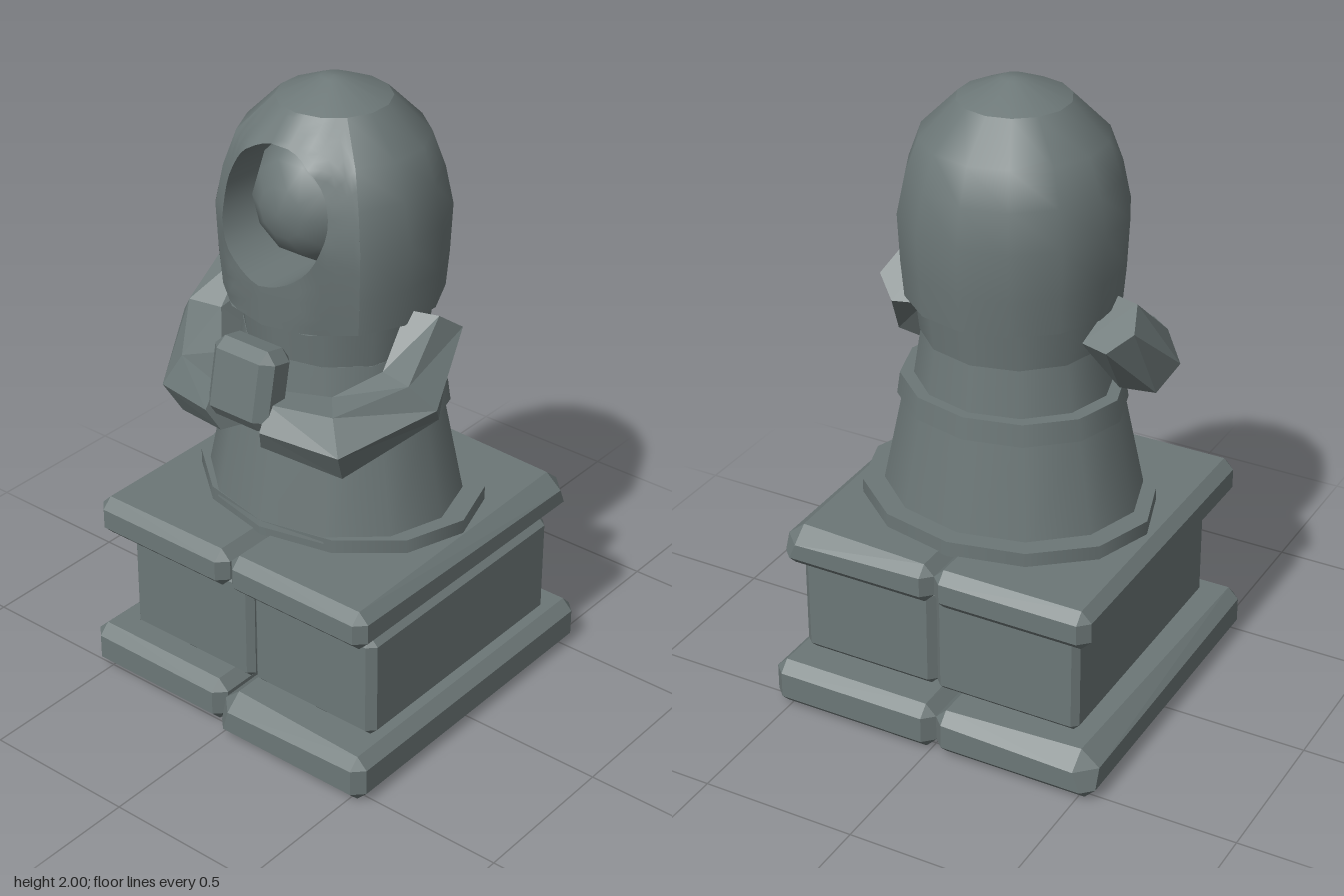
import * as THREE from 'three';
import { ConvexGeometry } from 'three/addons/geometries/ConvexGeometry.js';

const V = (x, y, z) => new THREE.Vector3(x, y, z);
const SIDES = 14;
const STEP = (Math.PI * 2) / SIDES;

// Box from min to max with cut edges; chips lists corners ("-+-" style signs) worn back further
function chamferBox(min, max, c, chips = {}) {
  const pts = [];
  for (const sx of [-1, 1]) for (const sy of [-1, 1]) for (const sz of [-1, 1]) {
    const s = [sx, sy, sz];
    const k = chips[s.map(v => (v > 0 ? '+' : '-')).join('')] || c;
    const corner = s.map((v, i) => (v > 0 ? max[i] : min[i]));
    for (let keep = 0; keep < 3; keep++) {
      const p = corner.map((v, i) => (i === keep ? v : v - s[i] * (i === 1 ? Math.min(k, c * 1.4) : k)));
      pts.push(V(...p));
    }
  }
  return new ConvexGeometry(pts);
}

// Skin through closed loops of equal point count
function loft(rows, flat) {
  const n = rows[0].length, pos = [], idx = [];
  rows.forEach(r => r.forEach(p => pos.push(p.x, p.y, p.z)));
  for (let j = 0; j < rows.length - 1; j++) for (let i = 0; i < n; i++) {
    const a = j * n + i, b = j * n + (i + 1) % n;
    idx.push(a, b, b + n, a, b + n, a + n);
  }
  let g = new THREE.BufferGeometry();
  g.setAttribute('position', new THREE.Float32BufferAttribute(pos, 3));
  g.setIndex(idx);
  if (flat) g = g.toNonIndexed();
  g.computeVertexNormals();
  return g;
}

// Hood outline: radius against height
const HOOD = [[0.328, 1.335], [0.338, 1.45], [0.345, 1.6], [0.32, 1.72], [0.28, 1.83], [0.17, 1.94]];
function hoodRadius(y) {
  for (let i = 1; i < HOOD.length; i++) {
    const [r0, y0] = HOOD[i - 1], [r1, y1] = HOOD[i];
    if (y <= y1) return r0 + ((r1 - r0) * (y - y0)) / (y1 - y0);
  }
  return HOOD[HOOD.length - 1][0];
}
function hoodPoint(u, y) {
  const m = ((u % STEP) + STEP) % STEP;
  const r = (hoodRadius(y) * Math.cos(STEP / 2)) / Math.cos(m - STEP / 2);
  return V(r * Math.sin(u), y, r * Math.cos(u));
}

export function createModel() {
  const group = new THREE.Group();
  const stone = new THREE.MeshStandardMaterial({ color: 0x6c7777, side: THREE.DoubleSide });
  stone.name = 'weathered stone';
  const add = (name, geo) => {
    const m = new THREE.Mesh(geo, stone);
    m.name = name;
    group.add(m);
    return m;
  };

  // Pedestal: three courses of paired blocks
  add('baseSlabRight', chamferBox([-0.555, 0.005, -0.56], [-0.015, 0.155, 0.53], 0.035, { '-+-': 0.06 }));
  add('baseSlabLeft', chamferBox([-0.015, 0, -0.56], [0.553, 0.155, 0.56], 0.035, { '-++': 0.055 }));
  add('middleBlockRight', chamferBox([-0.45, 0.155, -0.445], [0.035, 0.505, 0.44], 0.02));
  add('middleBlockLeft', chamferBox([0.035, 0.155, -0.445], [0.503, 0.505, 0.44], 0.025));
  add('topSlabRight', chamferBox([-0.52, 0.505, -0.53], [0.0, 0.635, 0.52], 0.033));
  add('topSlabLeft', chamferBox([0.0, 0.505, -0.53], [0.52, 0.635, 0.515], 0.033, { '++-': 0.055 }));

  // Robe: oval drums stacked from hem to neck
  const drum = (name, y0, y1, x0, x1, depth, zc) => {
    const m = add(name, new THREE.CylinderGeometry(x1, x0, y1 - y0, 12));
    m.scale.z = depth;
    m.position.set(0, (y0 + y1) / 2, zc);
  };
  drum('hem', 0.63, 0.68, 0.47, 0.47, 0.82, -0.035);
  drum('skirt', 0.66, 0.99, 0.415, 0.345, 0.865, -0.005);
  drum('belt', 0.98, 1.05, 0.36, 0.35, 0.87, -0.012);
  drum('lowerTorso', 1.04, 1.2, 0.31, 0.285, 0.92, 0);
  drum('upperTorso', 1.2, 1.34, 0.285, 0.3, 0.935, -0.005);

  // Hood: back shell, crown and underside
  const profile = HOOD.map(([r, y]) => new THREE.Vector2(r, y));
  add('hoodBack', new THREE.LatheGeometry(profile, SIDES - 4, 2 * STEP, (SIDES - 4) * STEP));
  add('hoodCrown', new THREE.LatheGeometry(
    [[0.17, 1.94], [0.04, 1.998], [0, 2]].map(p => new THREE.Vector2(...p)), SIDES));
  const under = add('hoodUnderside', new THREE.CircleGeometry(0.328, SIDES, Math.PI / 2));
  under.rotation.x = Math.PI / 2;
  under.position.y = 1.335;

  // Hood front: patch running from its border in to a round face opening
  const N = 40, holeY = 1.665, holeR = 0.2, rows = [];
  for (let j = 0; j <= 6; j++) {
    const t = j / 6, row = [];
    for (let i = 0; i < N; i++) {
      const side = Math.floor((i * 4) / N), k = ((i * 4) / N - side) * 2 - 1;
      const [p, q] = [[k, -1], [1, k], [-k, 1], [-1, -k]][side];
      const a = (i / N) * Math.PI * 2 - Math.PI * 0.75;
      const hy = holeY + holeR * Math.sin(a);
      const hu = Math.asin((holeR * 0.97 * Math.cos(a)) / hoodRadius(hy));
      const y = q < 0 ? holeY + q * (holeY - 1.335) : holeY + q * (1.94 - holeY);
      row.push(hoodPoint(THREE.MathUtils.lerp(p * 2 * STEP, hu, t), THREE.MathUtils.lerp(y, hy, t)));
    }
    rows.push(row);
  }
  add('hoodFront', loft(rows));
  const rim = rows[6];
  add('faceOpening', loft([rim, rim.map(p => V(p.x, p.y, 0.02))]));

  // Face set back in the opening
  const face = add('face', new THREE.SphereGeometry(0.205, 10, 8));
  face.rotation.x = Math.PI / 2;
  face.position.set(0, 1.655, 0.05);

  // Six-sided sleeves bent towards the hands
  for (const s of [1, -1]) {
    const path = [V(0.33, 1.31, -0.035), V(0.375, 1.14, 0.11), V(0.26, 1.045, 0.305), V(0.07, 1.075, 0.385)];
    path.forEach(p => { p.x *= s; });
    const radii = [0.1, 0.112, 0.118, 0.085];
    const loops = path.map((p, i) => {
      const before = path[Math.max(i - 1, 0)], after = path[Math.min(i + 1, 3)];
      const dir = after.clone().sub(p).normalize().add(p.clone().sub(before).normalize()).normalize();
      const e1 = V(0, 1, 0).cross(dir).normalize(), e2 = dir.clone().cross(e1);
      return Array.from({ length: 6 }, (_, k) => {
        const a = (k * Math.PI) / 3;
        return p.clone().addScaledVector(e1, radii[i] * Math.cos(a)).addScaledVector(e2, radii[i] * Math.sin(a));
      });
    });
    loops.unshift(Array(6).fill(path[0]));
    loops.push(Array(6).fill(path[3]));
    add(s > 0 ? 'leftArm' : 'rightArm', loft(loops, true));
  }

  // Clasped hands
  const hands = add('claspedHands', chamferBox([-0.113, -0.122, -0.065], [0.113, 0.122, 0.065], 0.033));
  hands.position.set(0, 1.177, 0.388);
  hands.rotation.x = -0.2;

  return group;
}
